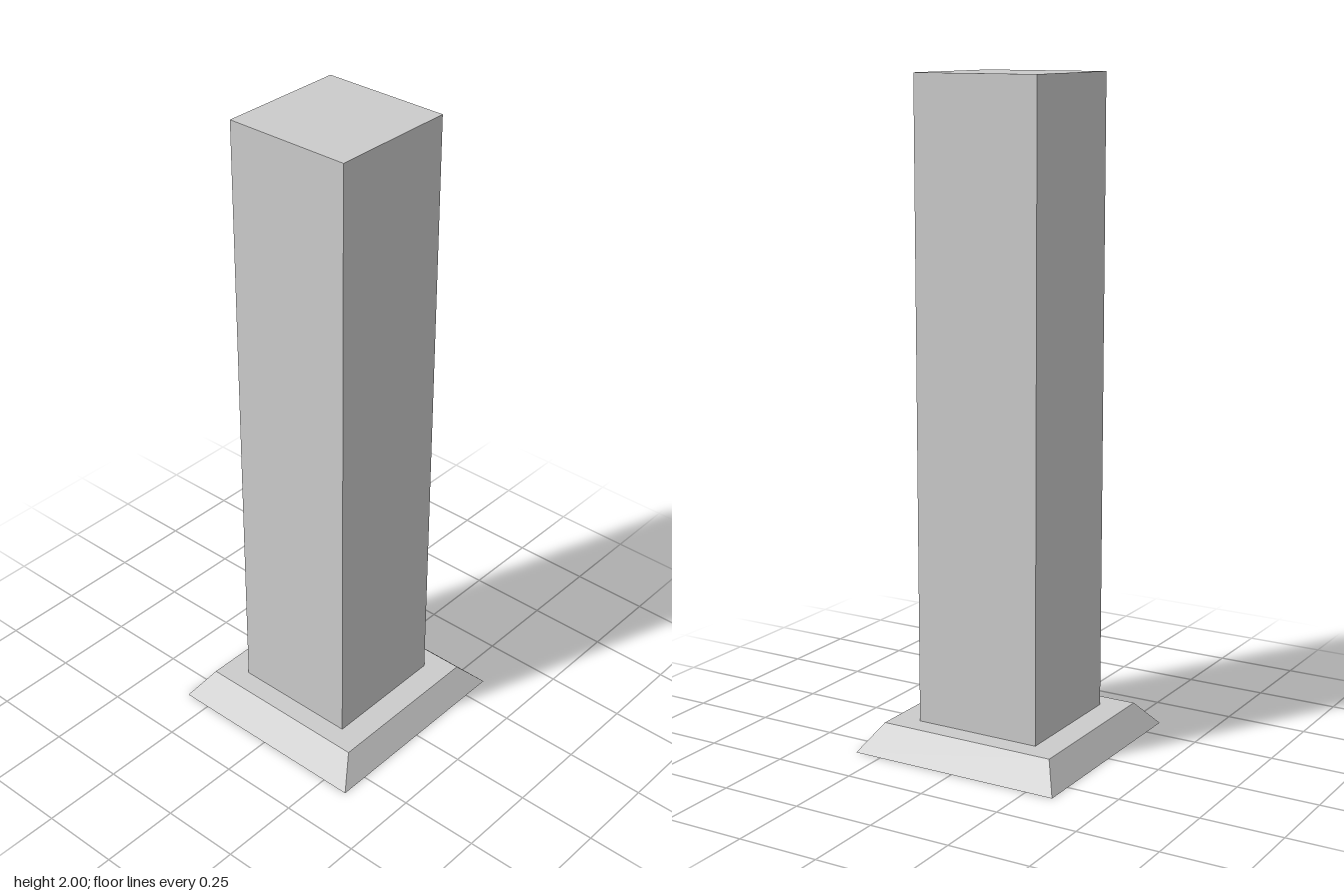
import * as THREE from 'three';

const material = new THREE.MeshStandardMaterial({
  color: 0xcccccc, flatShading: true, side: THREE.DoubleSide,
});

// Four-sided band between two rectangles, each given as [halfX, y, halfZ]
function band(name, lower, upper) {
  const signs = [[1, 1], [1, -1], [-1, -1], [-1, 1]];
  const corner = ([x, y, z], i) => [x * signs[i % 4][0], y, z * signs[i % 4][1]];
  const points = [];
  for (let i = 0; i < 4; i++) {
    const a = corner(lower, i), b = corner(lower, i + 1);
    const c = corner(upper, i + 1), d = corner(upper, i);
    points.push(...a, ...b, ...c, ...a, ...c, ...d);
  }
  const geometry = new THREE.BufferGeometry();
  geometry.setAttribute('position', new THREE.Float32BufferAttribute(points, 3));
  geometry.computeVertexNormals();
  const mesh = new THREE.Mesh(geometry, material);
  mesh.name = name;
  return mesh;
}

export function createModel() {
  const model = new THREE.Group();
  model.name = 'pillar';
  const half = 0.2, baseTop = 0.08, height = 2;

  // Thin, hollow base: sloping skirt and the flat ledge around the column
  const base = new THREE.Group();
  base.name = 'base';
  base.add(
    band('baseSkirt', [0.336, 0, 0.341], [0.283, baseTop, 0.265]),
    band('baseLedge', [0.283, baseTop, 0.265], [half, baseTop, half]),
  );

  // Square column, closed at the top and open underneath
  const column = new THREE.Group();
  column.name = 'column';
  const cap = new THREE.Mesh(
    new THREE.PlaneGeometry(half * 2, half * 2).rotateX(-Math.PI / 2), material);
  cap.name = 'columnTop';
  cap.position.y = height;
  column.add(band('columnWalls', [half, baseTop, half], [half, height, half]), cap);

  model.add(base, column);
  return model;
}
